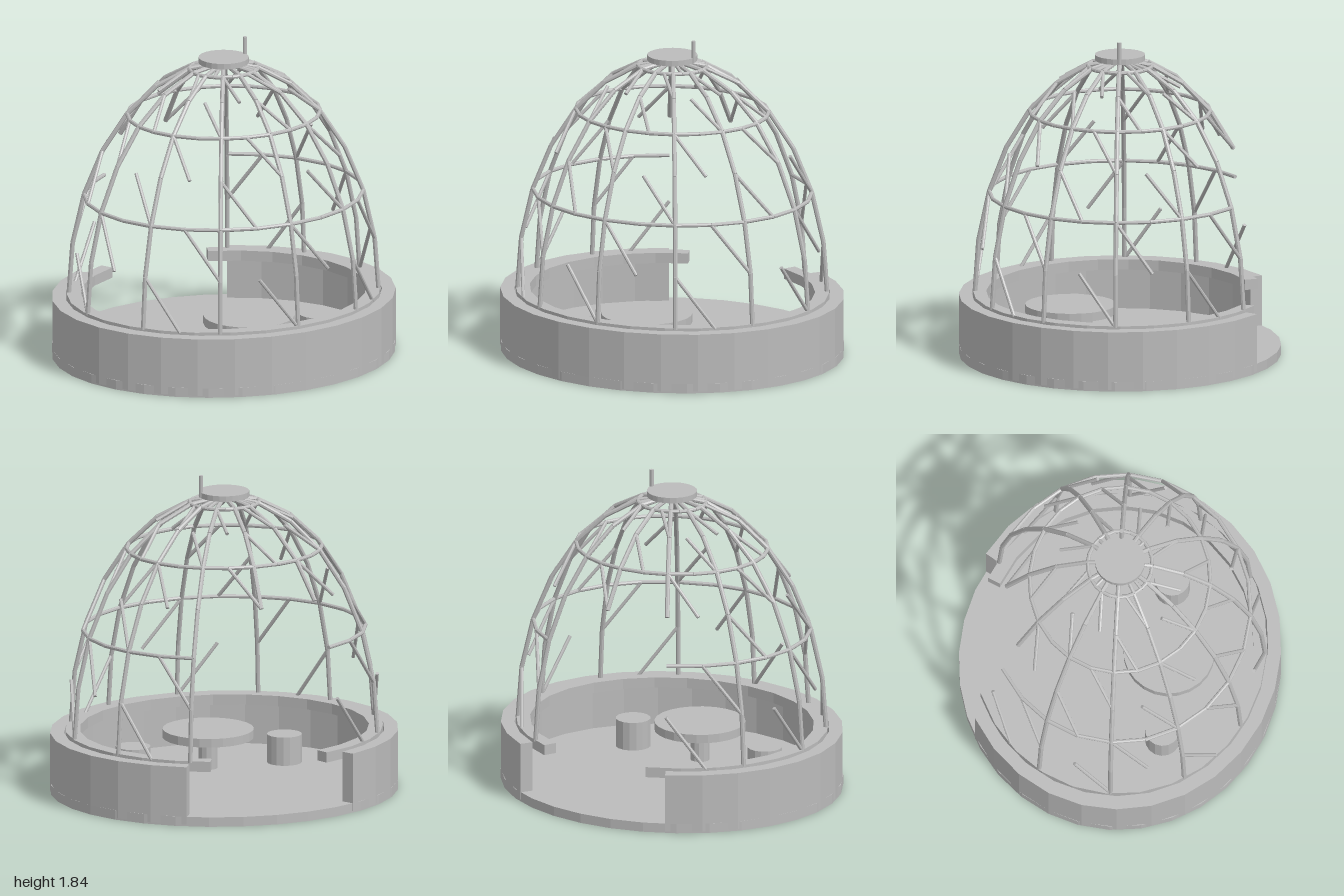
import * as THREE from 'three';
import { mergeGeometries } from 'three/addons/utils/BufferGeometryUtils.js';

const DEPTH = 0.917; // the plan is an ellipse, shallower in z
const LEVELS = 7;
const STEP = Math.PI / 12;

const stone = new THREE.MeshStandardMaterial({ color: 0xbbbbbb, flatShading: true });
stone.name = 'grey';

function add(parent, name, geometry) {
  const mesh = new THREE.Mesh(geometry, stone);
  mesh.name = name;
  parent.add(mesh);
  return mesh;
}

// Upright cylinder standing between two heights
function drum(parent, name, radius, y0, y1, x = 0, z = 0, sides = 24) {
  const mesh = add(parent, name, new THREE.CylinderGeometry(radius, radius, y1 - y0, sides));
  mesh.position.set(x, (y0 + y1) / 2, z);
  return mesh;
}

// Curved band, open at the back by halfGap on either side
function openRing(inner, outer, y0, y1, halfGap) {
  const a = Math.PI / 2 + halfGap;
  const b = Math.PI * 2.5 - halfGap;
  const shape = new THREE.Shape();
  shape.absarc(0, 0, outer, a, b, false);
  shape.absarc(0, 0, inner, b, a, true);
  shape.closePath();
  const g = new THREE.ExtrudeGeometry(shape, { depth: y1 - y0, bevelEnabled: false, curveSegments: 12 });
  g.rotateX(-Math.PI / 2);
  g.scale(1, 1, DEPTH);
  g.translate(0, y0, 0);
  return g;
}

// Point on the dome: a counts 15 degree steps from +x towards +z
function node(a, level) {
  const p = (level / LEVELS) * Math.PI / 2;
  const r = 0.9 * Math.cos(p);
  return new THREE.Vector3(
    r * Math.cos(a * STEP), 0.35 + 1.36 * Math.sin(p), r * Math.sin(a * STEP) * DEPTH);
}

function strut(p, q, radius) {
  const d = q.clone().sub(p);
  const g = new THREE.CylinderGeometry(radius, radius, d.length(), 8);
  g.applyQuaternion(new THREE.Quaternion().setFromUnitVectors(
    new THREE.Vector3(0, 1, 0), d.normalize()));
  const m = p.clone().add(q).multiplyScalar(0.5);
  return g.translate(m.x, m.y, m.z);
}

export function createModel() {
  const model = new THREE.Group();
  model.name = 'domePavilion';

  // Base: floor, low wall with a doorway at the back, and rim
  const floor = drum(model, 'floor', 1, 0, 0.055, 0, 0, 32);
  floor.scale.z = DEPTH;
  add(model, 'wall', openRing(0.92, 1, 0.01, 0.345, Math.PI / 6));
  add(model, 'rim', openRing(0.83, 0.912, 0.3, 0.36, Math.PI / 8));

  const dome = new THREE.Group();
  dome.name = 'dome';
  model.add(dome);

  // Twelve ribs; two stop short above the doorway
  for (let a = 0; a < 24; a += 2) {
    const start = a === 16 || a === 18 ? 3 : 0;
    const parts = [];
    for (let i = start; i < LEVELS; i++) parts.push(strut(node(a, i), node(a, i + 1), 0.0135));
    add(dome, 'rib', mergeGeometries(parts));
  }

  // Three hoops; the lowest is open over the doorway
  for (const level of [2, 4, 6]) {
    const parts = [];
    for (let a = 0; a < 24; a++) {
      if (level === 2 && a >= 16 && a < 20) continue;
      parts.push(strut(node(a, level), node(a + 1, level), 0.0115));
    }
    add(dome, 'hoop', mergeGeometries(parts));
  }

  // Slanted braces on every third node of the lattice, none in the doorway
  const braces = [];
  for (let i = 0; i < LEVELS; i++) {
    for (let a = 0; a < 24; a++) {
      if ((a + i) % 3 !== 0) continue;
      if (i < 3 && Math.abs(a + 0.5 - 18) < 2) continue;
      braces.push(strut(node(a, i), node(a + 1, i + 1), 0.0105));
    }
  }
  add(dome, 'braces', mergeGeometries(braces));

  // Cap and vent post
  drum(model, 'cap', 0.143, 1.71, 1.742);
  drum(model, 'ventPost', 0.012, 1.715, 1.84, 0.14, 0, 10);

  // Table and two stools
  drum(model, 'tableTop', 0.26, 0.235, 0.285, 0, 0.28);
  drum(model, 'tableLeg', 0.055, 0.05, 0.24, 0, 0.28, 12);
  for (const side of [-1, 1]) drum(model, 'stool', 0.1, 0.05, 0.22, side * 0.455, 0.27, 16);

  return model;
}
